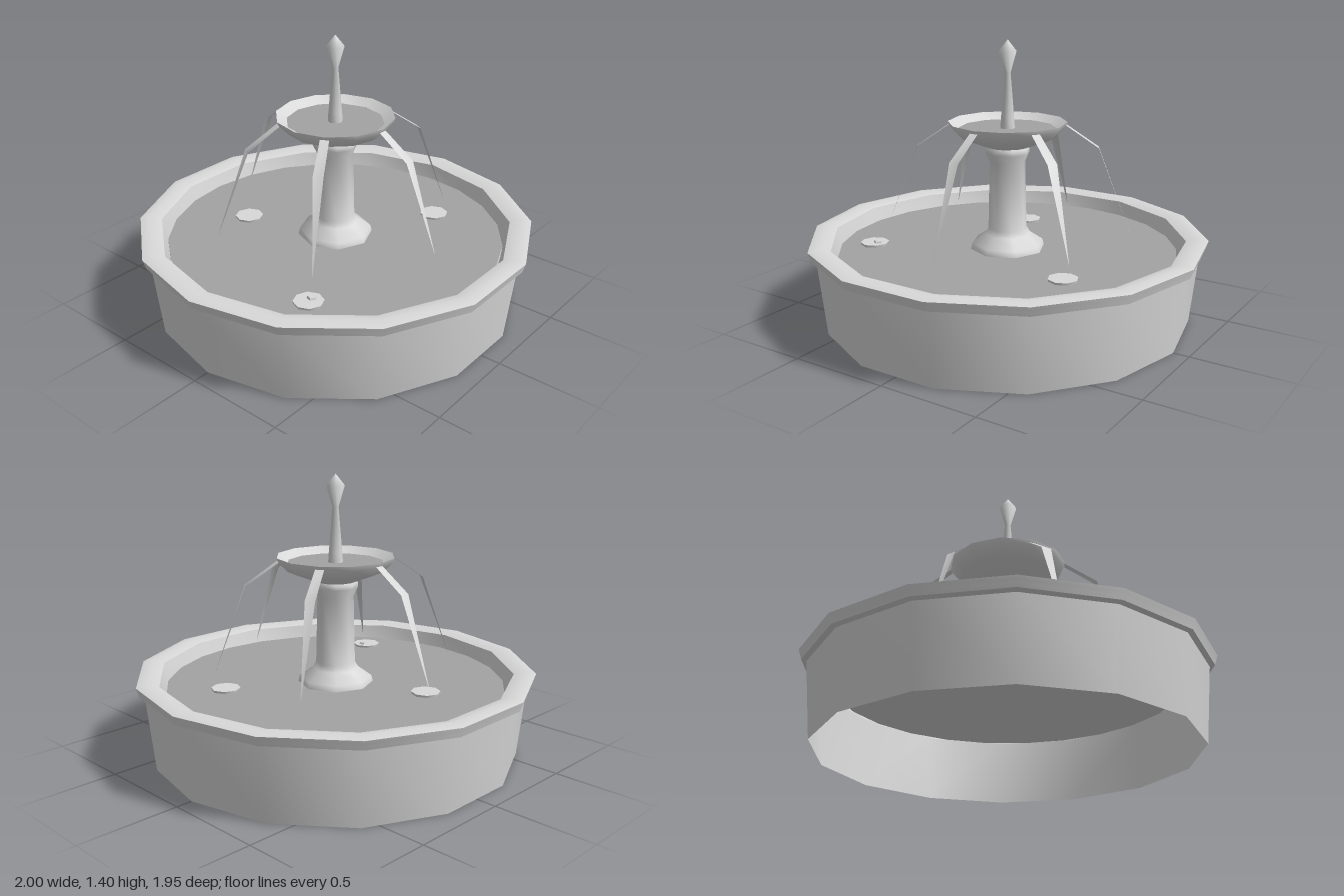
import * as THREE from 'three';
import { toCreasedNormals } from 'three/addons/utils/BufferGeometryUtils.js';

export function createModel() {
  const model = new THREE.Group();
  model.name = 'fountain';
  const stone = new THREE.MeshStandardMaterial({ color: 0xd8d8d8, side: THREE.DoubleSide });
  stone.name = 'light stone';
  const water = new THREE.MeshStandardMaterial({ color: 0xa3a3a3, side: THREE.DoubleSide });
  water.name = 'still water';

  const add = (name, geometry, material, x = 0, y = 0, z = 0) => {
    const mesh = new THREE.Mesh(geometry, material);
    mesh.name = name;
    mesh.position.set(x, y, z);
    model.add(mesh);
    return mesh;
  };
  // Turned part: profile of [radius, height], first corner on the x axis
  const turned = (profile, sides, crease) => toCreasedNormals(
    new THREE.LatheGeometry(profile.map(p => new THREE.Vector2(...p)), sides, Math.PI / 2), crease);
  const disc = (radius, sides) => new THREE.CircleGeometry(radius, sides).rotateX(-Math.PI / 2);

  // Open-bottomed basin with a moulded rim
  add('basin', turned([[0.92, 0], [0.96, 0.37]], 14, 0.6), stone);
  add('basinRim', turned([
    [0.96, 0.37], [0.985, 0.378], [0.99, 0.395], [0.995, 0.41], [1, 0.425],
    [0.95, 0.435], [0.89, 0.42], [0.865, 0.32],
  ], 14, 0.6), stone);

  // Raised floor slab with the water on top
  add('basinFloor', turned([[0.001, 0.32], [0.85, 0.32], [0.85, 0.35]], 24, 0.6), stone);
  add('basinWater', disc(0.85, 24), water, 0, 0.355, 0);

  // Central column with flared foot and collar
  add('column', turned([
    [0.19, 0.35], [0.182, 0.385], [0.115, 0.43], [0.098, 0.46],
    [0.09, 0.8], [0.112, 0.845], [0.112, 0.865], [0.1, 0.885],
  ], 8, 1), stone);

  // Upper bowl
  add('bowl', turned([
    [0.1, 0.875], [0.24, 0.93], [0.285, 0.975], [0.295, 1], [0.238, 0.965],
  ], 12, 0.8), stone);
  add('bowlWater', disc(0.242, 12), water, 0, 0.968, 0);

  // Spout with a pointed bulb
  add('spout', turned([
    [0.038, 0.95], [0.033, 1.02], [0.015, 1.24], [0.045, 1.345], [0.001, 1.4],
  ], 8, 1.6), stone);

  // Six ribbon jets falling from the bowl: [distance out, height, half width]
  const path = [[0.29, 0.985, 0.022], [0.45, 0.875, 0.025], [0.61, 0.45, 0.001]];
  const jetShape = new THREE.BufferGeometry();
  const corners = path.flatMap(([r, y, w]) => [-w, y, r, w, y, r]);
  jetShape.setAttribute('position', new THREE.Float32BufferAttribute(corners, 3));
  jetShape.setIndex([1, 0, 2, 1, 2, 3, 3, 2, 4, 3, 4, 5]);
  const jetGeometry = toCreasedNormals(jetShape, 0.9);
  for (let i = 0; i < 6; i++) {
    add('waterJet', jetGeometry, stone).rotation.y = i * Math.PI / 3;
  }

  // Floating pads, one carrying a bud
  for (const [x, z] of [[-0.165, -0.455], [0.485, 0.28], [-0.592, 0.337]]) {
    const pad = new THREE.CylinderGeometry(0.073, 0.07, 0.012, 8);
    add('lilyPad', toCreasedNormals(pad, 0.9), stone, x, 0.362, z);
  }
  const bud = new THREE.CylinderGeometry(0.022, 0.026, 0.012, 5);
  add('lilyBud', toCreasedNormals(bud, 0.5), stone, -0.567, 0.373, 0.337);

  return model;
}
